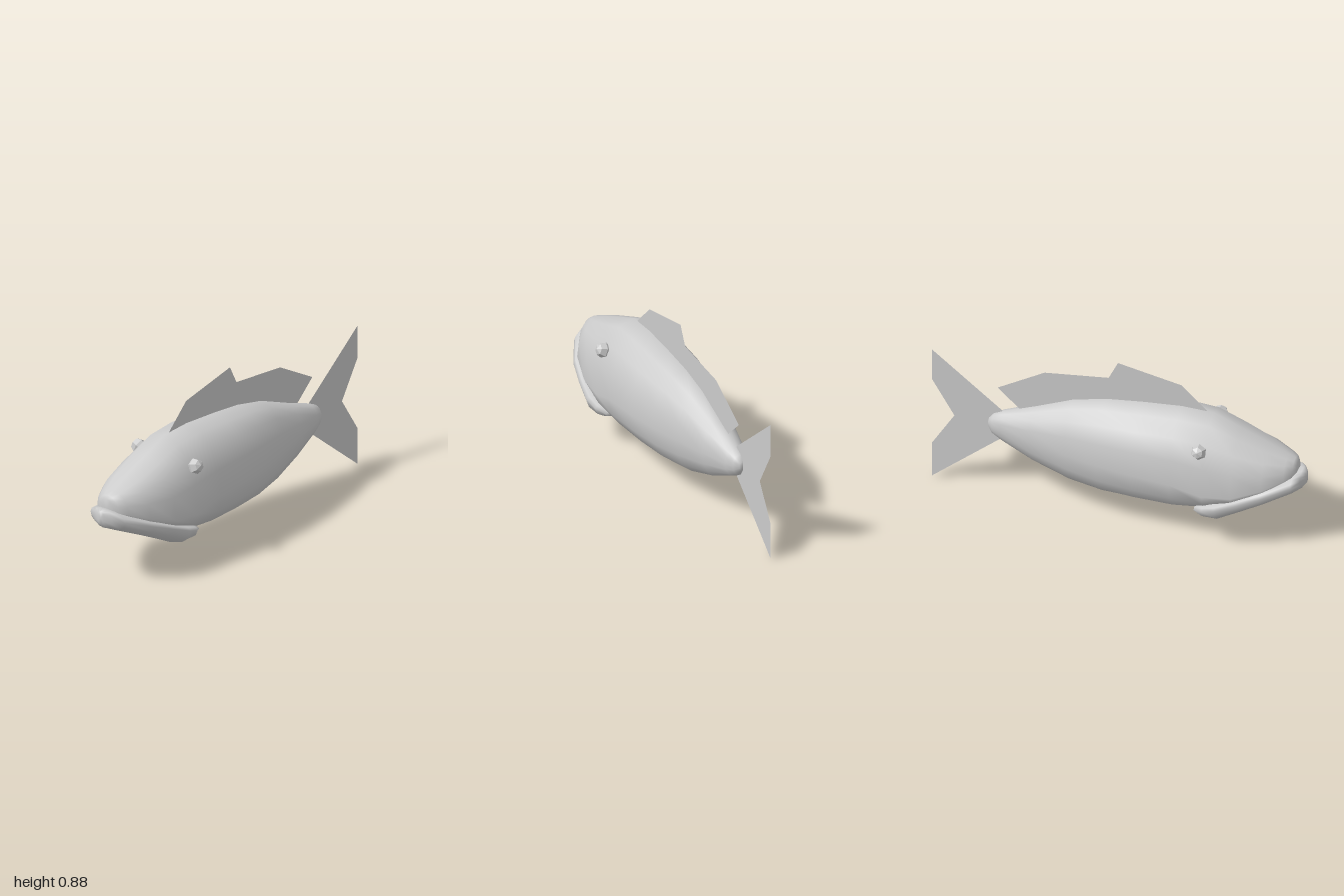
import * as THREE from 'three';

const material = new THREE.MeshStandardMaterial({ color: 0xcccccc });
const finMaterial = new THREE.MeshStandardMaterial({ color: 0xcccccc, side: THREE.DoubleSide });
const eyeMaterial = new THREE.MeshStandardMaterial({ color: 0xcccccc, flatShading: true });

// Skin over rounded sections, front to back: [z, top, bottom, widest height, half width]
function loft(sections, sides, power) {
  const positions = [];
  const index = [];
  const bend = (v) => Math.sign(v) * Math.abs(v) ** (2 / power);
  for (const [z, top, bottom, mid, w] of sections) {
    for (let j = 0; j < sides; j++) {
      const a = (j / sides) * Math.PI * 2;
      const s = bend(Math.sin(a));
      positions.push(w * bend(Math.cos(a)), mid + s * (s > 0 ? top - mid : mid - bottom), z);
    }
  }
  const last = sections.length - 1;
  const front = sections.length * sides;
  for (const [z, , , mid] of [sections[0], sections[last]]) positions.push(0, mid, z);
  for (let j = 0; j < sides; j++) {
    const k = (j + 1) % sides;
    for (let i = 0; i < last; i++) {
      const a = i * sides + j, b = i * sides + k;
      index.push(a, a + sides, b, b, a + sides, b + sides);
    }
    index.push(front, j, k, front + 1, last * sides + k, last * sides + j);
  }
  const geometry = new THREE.BufferGeometry();
  geometry.setAttribute('position', new THREE.Float32BufferAttribute(positions, 3));
  geometry.setIndex(index);
  geometry.computeVertexNormals();
  return geometry;
}

// Flat fin on the centre plane from [z, y] corners
function fin(corners) {
  const shape = new THREE.Shape(corners.map(([z, y]) => new THREE.Vector2(z, y)));
  return new THREE.ShapeGeometry(shape).rotateY(-Math.PI / 2);
}

export function createModel() {
  const model = new THREE.Group();
  const add = (name, geometry, mat) => {
    const mesh = new THREE.Mesh(geometry, mat);
    mesh.name = name;
    model.add(mesh);
    return mesh;
  };

  // Body with the upper head; its underside is tucked into the jaw at the front
  add('body', loft([
    [0.95, 0.475, 0.4, 0.42, 0.035],
    [0.935, 0.49, 0.38, 0.41, 0.07],
    [0.9, 0.505, 0.36, 0.4, 0.105],
    [0.8, 0.55, 0.31, 0.36, 0.17],
    [0.65, 0.615, 0.24, 0.31, 0.21],
    [0.5, 0.678, 0.17, 0.3, 0.222],
    [0.33, 0.685, 0.135, 0.35, 0.235],
    [0.12, 0.67, 0.13, 0.36, 0.222],
    [-0.07, 0.65, 0.13, 0.365, 0.195],
    [-0.25, 0.61, 0.155, 0.37, 0.155],
    [-0.45, 0.53, 0.22, 0.375, 0.105],
    [-0.62, 0.468, 0.3, 0.385, 0.062],
    [-0.67, 0.445, 0.33, 0.39, 0.045],
    [-0.695, 0.415, 0.365, 0.39, 0.02],
  ], 16, 2.2), material);

  // Broad lower jaw, sloping down and back from the lip
  add('lowerJaw', loft([
    [0.995, 0.42, 0.35, 0.385, 0.02],
    [0.975, 0.432, 0.325, 0.385, 0.06],
    [0.94, 0.42, 0.31, 0.37, 0.115],
    [0.8, 0.365, 0.245, 0.325, 0.192],
    [0.68, 0.31, 0.185, 0.28, 0.222],
    [0.57, 0.265, 0.127, 0.238, 0.238],
    [0.5, 0.24, 0.135, 0.215, 0.225],
    [0.45, 0.215, 0.165, 0.195, 0.19],
  ], 16, 2.3), material);

  // Fins
  add('dorsalFin', fin([
    [0.47, 0.675], [0.33, 0.81], [-0.01, 0.88], [-0.06, 0.78], [-0.4, 0.745],
    [-0.65, 0.605], [-0.53, 0.495], [-0.3, 0.54], [0.2, 0.62],
  ]), finMaterial);
  add('tailFin', fin([
    [-0.6, 0.45], [-1, 0.77], [-1, 0.59], [-0.88, 0.39],
    [-1, 0.2], [-1, 0], [-0.6, 0.325],
  ]), finMaterial);

  // Bulging faceted eyes, poles pointing outwards and a little up
  for (const side of [1, -1]) {
    const eye = add(side > 0 ? 'leftEye' : 'rightEye', new THREE.SphereGeometry(0.042, 6, 4), eyeMaterial);
    eye.position.set(side * 0.188, 0.552, 0.477);
    eye.rotation.z = -side * 1.2;
  }
  return model;
}
